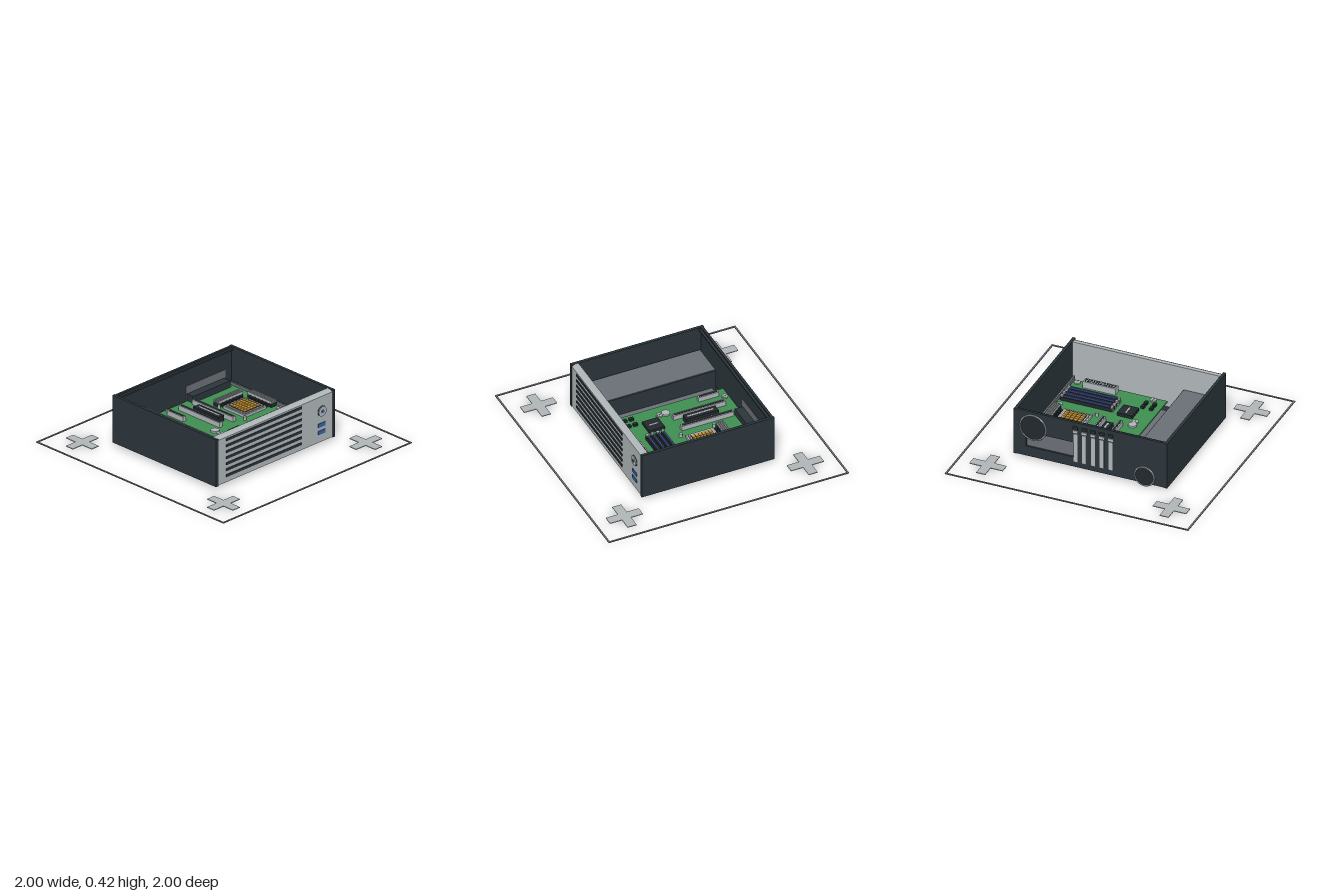
import * as THREE from 'three';

const mat = (name, color) => {
  const m = new THREE.MeshStandardMaterial({ color });
  m.name = name;
  return m;
};

export function createModel() {
  const M = {
    dark: mat('caseDark', 0x2b353b),
    black: mat('blackPlastic', 0x22282d),
    light: mat('lightGrey', 0xb0b6b8),
    grey: mat('midGrey', 0x6b6f76),
    green: mat('boardGreen', 0x3f8f52),
    blue: mat('portBlue', 0x3263a8),
    navy: mat('memoryBlue', 0x3a4a78),
    gold: mat('contactGold', 0xd09a35),
  };
  const root = new THREE.Group();
  let parent = root;
  const group = (name) => {
    parent = new THREE.Group();
    parent.name = name;
    root.add(parent);
  };
  const add = (name, geo, m, x = 0, y = 0, z = 0) => {
    const mesh = new THREE.Mesh(geo, m);
    mesh.name = name;
    mesh.position.set(x, y, z);
    parent.add(mesh);
    return mesh;
  };
  // Box given by its range on each axis
  const box = (name, m, x0, x1, y0, y1, z0, z1) =>
    add(name, new THREE.BoxGeometry(x1 - x0, y1 - y0, z1 - z0), m,
      (x0 + x1) / 2, (y0 + y1) / 2, (z0 + z1) / 2);
  const disc = (name, m, r, h, x, y, z) =>
    add(name, new THREE.CylinderGeometry(r, r, h, 24), m, x, y, z);
  const rectPath = (P, x0, x1, y0, y1) => {
    const p = new P();
    p.moveTo(x0, y0);
    p.lineTo(x1, y0);
    p.lineTo(x1, y1);
    p.lineTo(x0, y1);
    p.closePath();
    return p;
  };

  // Ground outline and corner crosses
  group('groundMarks');
  for (const s of [-1, 1]) {
    box('outlineSide', M.grey, s * 0.993 - 0.007, s * 0.993 + 0.007, 0, 0.006, -1, 1);
    box('outlineEnd', M.grey, -0.986, 0.986, 0, 0.006, s * 0.993 - 0.007, s * 0.993 + 0.007);
    for (const t of [-1, 1]) {
      const x = s * 0.753, z = t * 0.753;
      box('crossBar', M.light, x - 0.137, x + 0.137, 0, 0.006, z - 0.037, z + 0.037);
      for (const u of [-1, 1])
        box('crossArm', M.light, x - 0.037, x + 0.037, 0, 0.006, z + u * 0.087 - 0.05, z + u * 0.087 + 0.05);
    }
  }

  // Open-topped case with feet
  group('case');
  box('floor', M.dark, -0.61, 0.61, 0.027, 0.04, -0.55, 0.52);
  for (const s of [-1, 1]) {
    box('sideWall', M.dark, s * 0.618 - 0.012, s * 0.618 + 0.012, 0.027, 0.42, -0.555, 0.55);
    for (const t of [-1, 1])
      box('foot', M.black, s * 0.514 - 0.058, s * 0.514 + 0.058, 0, 0.028, t * 0.435 - 0.056, t * 0.435 + 0.056);
  }
  const back = rectPath(THREE.Shape, -0.606, 0.606, 0.04, 0.42);
  back.holes.push(rectPath(THREE.Path, 0.13, 0.53, 0.11, 0.24));
  add('backWall', new THREE.ExtrudeGeometry(back, { depth: 0.02, bevelEnabled: false }), M.dark, 0, 0, -0.55);
  box('backLip', M.dark, -0.606, 0.606, 0.395, 0.408, -0.53, -0.51);
  box('portShield', M.grey, 0.12, 0.54, 0.1, 0.25, -0.535, -0.527);

  // Fan guards on the back
  const guard = (x, y, r) => {
    add('fanGuard', new THREE.TorusGeometry(r, 0.006, 8, 40), M.light, x, y, -0.557);
    const d = disc('fanCover', M.black, r, 0.012, x, y, -0.553);
    d.rotation.x = Math.PI / 2;
  };
  guard(0.47, 0.29, 0.107);
  guard(-0.445, 0.09, 0.08);

  // Expansion slot covers
  for (let i = 0; i < 5; i++) {
    const x = 0.122 - i * 0.072;
    box('slotCover', M.light, x - 0.016, x + 0.016, 0.075, 0.32, -0.556, -0.549);
    box('slotTab', M.light, x - 0.02, x + 0.02, 0.33, 0.35, -0.558, -0.549);
    box('slotClip', M.dark, x - 0.02, x + 0.02, 0.365, 0.385, -0.56, -0.549);
  }

  // Front panel with bevelled top
  group('frontPanel');
  const side = new THREE.Shape([[0.49, 0.03], [0.545, 0.03], [0.545, 0.405], [0.522, 0.418], [0.49, 0.418]]
    .map(([z, y]) => new THREE.Vector2(-z, y)));
  const panel = new THREE.ExtrudeGeometry(side, { depth: 1.212, bevelEnabled: false });
  panel.rotateY(Math.PI / 2);
  add('panel', panel, M.light, -0.606);
  for (let i = 0; i < 7; i++) {
    const y = 0.382 - i * 0.0497;
    box('ventSlot', M.dark, -0.52, 0.28, y - 0.01, y + 0.01, 0.544, 0.551);
  }
  [[0.043, M.dark, 0.006], [0.04, M.light, 0.012], [0.013, M.blue, 0.016]].forEach(([r, m, h]) => {
    disc('powerButton', m, r, h, 0.495, 0.283, 0.544 + h / 2).rotation.x = Math.PI / 2;
  });
  for (const y of [0.17, 0.11]) box('frontPort', M.blue, 0.456, 0.532, y - 0.016, y + 0.016, 0.544, 0.549);

  // Power supply, tray and side rail
  group('interior');
  box('powerSupply', M.grey, -0.585, -0.315, 0.04, 0.23, -0.51, 0.48);
  box('divider', M.dark, -0.316, -0.308, 0.04, 0.225, -0.51, 0.48);
  box('tray', M.grey, -0.308, 0.57, 0.05, 0.07, -0.48, 0.39);
  box('rail', M.grey, 0.566, 0.58, 0.04, 0.15, -0.51, 0.45);

  // Main board and its parts
  group('mainBoard');
  const Y = 0.13;
  box('board', M.green, -0.2, 0.56, Y - 0.013, Y, -0.52, 0.43);
  for (const x of [-0.1, 0.525])
    for (const z of [-0.485, 0.06, 0.395]) {
      disc('screw', M.light, 0.025, 0.01, x, Y + 0.005, z);
      box('screwSlot', M.grey, x - 0.003, x + 0.003, Y + 0.01, Y + 0.012, z - 0.016, z + 0.016);
      disc('standoff', M.light, 0.015, 0.05, x, Y - 0.037, z);
    }
  box('portBlock', M.dark, 0.13, 0.525, Y, 0.185, -0.53, -0.46);
  disc('battery', M.light, 0.033, 0.015, -0.1, Y + 0.007, 0.005);
  for (const z of [-0.255, 0.022]) disc('capacitor', M.light, 0.012, 0.03, 0.2, Y + 0.015, z);

  // Expansion sockets
  for (const [x, z1] of [[-0.14, -0.28], [-0.017, -0.015], [0.125, -0.015]]) {
    box('expansionSocket', M.light, x - 0.016, x + 0.016, Y, Y + 0.04, -0.45, z1);
    box('socketGroove', M.black, x - 0.008, x + 0.008, Y + 0.04, Y + 0.042, -0.44, z1 - 0.01);
  }
  box('graphicsSocket', M.black, 0.02, 0.082, Y, Y + 0.045, -0.35, -0.08);
  box('graphicsGroove', M.light, 0.044, 0.058, Y + 0.045, Y + 0.047, -0.32, -0.1);

  // Chips
  box('controllerChip', M.black, -0.06, 0.066, Y, Y + 0.025, 0.09, 0.22);
  box('chipMark', M.light, -0.002, 0.01, Y + 0.025, Y + 0.027, 0.115, 0.195);
  for (const x of [-0.14, -0.07])
    for (const z of [0.272, 0.328]) box('smallChip', M.black, x - 0.013, x + 0.013, Y, Y + 0.02, z - 0.018, z + 0.018);

  // Memory modules
  for (let i = 0; i < 4; i++) {
    const z = 0.133 + i * 0.043;
    box('memorySocket', M.black, 0.115, 0.545, Y, Y + 0.03, z - 0.014, z + 0.014);
    box('memoryModule', M.navy, 0.14, 0.52, Y + 0.03, Y + 0.045, z - 0.007, z + 0.007);
    for (const x of [0.122, 0.535]) box('memoryClip', M.light, x - 0.011, x + 0.011, Y, Y + 0.045, z - 0.011, z + 0.011);
  }

  // Power connector
  box('powerConnector', M.light, 0.19, 0.46, Y, Y + 0.055, 0.348, 0.402);
  for (let i = 0; i < 12; i++)
    for (const z of [0.364, 0.386]) {
      const x = 0.207 + i * 0.0215;
      box('powerPin', M.black, x - 0.007, x + 0.007, Y + 0.055, Y + 0.057, z - 0.007, z + 0.007);
    }

  // Processor socket with gold contacts
  [[0.115, M.light, 0.02], [0.104, M.grey, 0.022], [0.098, M.light, 0.026], [0.088, M.black, 0.028]].forEach(([r, m, h]) =>
    box('processorSocket', m, 0.34 - r, 0.34 + r, Y, Y + h, -0.12 - r, -0.12 + r));
  for (let i = 0; i < 5; i++)
    for (let j = 0; j < 6; j++) {
      const x = 0.272 + i * 0.034, z = -0.19 + j * 0.028;
      box('contact', M.gold, x - 0.014, x + 0.014, Y + 0.028, Y + 0.032, z - 0.011, z + 0.011);
    }

  // Finned heat sinks beside the processor
  box('rearHeatSink', M.black, 0.21, 0.47, Y, Y + 0.03, -0.325, -0.27);
  box('sideHeatSink', M.black, 0.49, 0.545, Y, Y + 0.03, -0.245, 0.01);
  for (let i = 0; i < 4; i++) {
    const d = i * 0.0158;
    box('rearFin', M.light, 0.21, 0.47, Y + 0.03, Y + 0.05, -0.324 + d, -0.318 + d);
    box('sideFin', M.light, 0.491 + d, 0.497 + d, Y + 0.03, Y + 0.05, -0.245, 0.01);
  }
  for (let i = 0; i < 6; i++) {
    const x = 0.245 + i * 0.036, z = -0.2 + i * 0.034;
    box('regulator', M.black, x - 0.012, x + 0.012, Y, Y + 0.02, -0.262, -0.242);
    box('regulator', M.black, 0.463, 0.483, Y, Y + 0.02, z - 0.012, z + 0.012);
  }
  return root;
}
